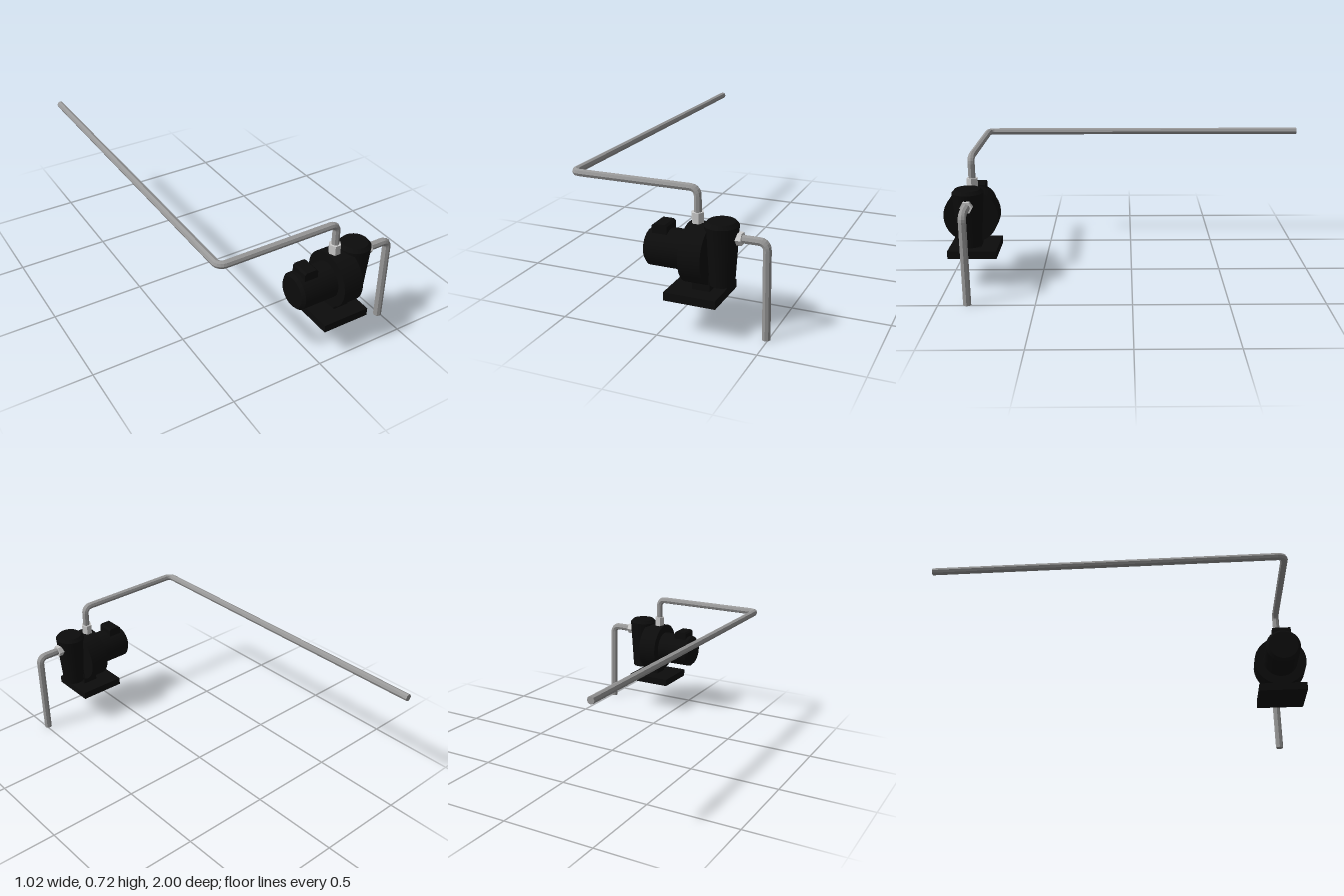
import * as THREE from 'three';
import { toCreasedNormals } from 'three/addons/utils/BufferGeometryUtils.js';

const BODY_Z = 0.855, PIPE_Z = 0.85;
const black = new THREE.MeshStandardMaterial({ color: 0x0c0c0c });
const steel = new THREE.MeshStandardMaterial({ color: 0xcccccc, flatShading: true });
const pipeGrey = new THREE.MeshStandardMaterial({ color: 0x999999, flatShading: true });

// Curve made of straight runs joined by rounded corners, sampled only where needed
function bentPath(corners, bend) {
  const pts = [], dirs = [];
  const add = (p, d) => { pts.push(p); dirs.push(d.normalize()); };
  const dir = (i) => corners[i + 1].clone().sub(corners[i]).normalize();
  add(corners[0], dir(0));
  for (let i = 1; i < corners.length - 1; i++) {
    const a = dir(i - 1), b = dir(i);
    const centre = corners[i].clone().addScaledVector(a, -bend).addScaledVector(b, bend);
    for (let k = 0; k <= 5; k++) {
      const t = (k / 5) * Math.PI / 2, s = Math.sin(t), c = Math.cos(t);
      add(centre.clone().addScaledVector(b, -bend * c).addScaledVector(a, bend * s),
        a.clone().multiplyScalar(c).addScaledVector(b, s));
    }
  }
  add(corners[corners.length - 1], dir(corners.length - 2));
  const curve = new THREE.Curve(), n = pts.length - 1;
  curve.getPointAt = (u, target = new THREE.Vector3()) => target.copy(pts[Math.round(u * n)]);
  curve.getTangentAt = (u, target = new THREE.Vector3()) => target.copy(dirs[Math.round(u * n)]);
  return { curve, n, pts, dirs };
}

// Eight-sided pipe with closed ends
function pipe(name, corners, radius, bend) {
  const group = new THREE.Group();
  group.name = name;
  const { curve, n, pts, dirs } = bentPath(corners.map((c) => new THREE.Vector3(...c)), bend);
  const tube = new THREE.Mesh(new THREE.TubeGeometry(curve, n, radius, 8), pipeGrey);
  tube.name = name + 'Tube';
  group.add(tube);
  for (const [i, sign] of [[0, -1], [n, 1]]) {
    const cap = new THREE.Mesh(new THREE.CircleGeometry(radius, 8), pipeGrey);
    cap.name = name + 'End';
    cap.position.copy(pts[i]);
    cap.quaternion.setFromUnitVectors(new THREE.Vector3(0, 0, 1), dirs[i].clone().multiplyScalar(sign));
    group.add(cap);
  }
  return group;
}

// Turned part, profile of [radius, height] pairs from bottom to top
function turned(profile) {
  const points = profile.map(([r, y]) => new THREE.Vector2(r, y));
  return toCreasedNormals(new THREE.LatheGeometry(points, 32), 0.5);
}

export function createModel() {
  const model = new THREE.Group();
  const add = (name, geometry, material, x, y, z) => {
    const mesh = new THREE.Mesh(geometry, material);
    mesh.name = name;
    mesh.position.set(x, y, z);
    model.add(mesh);
    return mesh;
  };

  // Foot and pedestal
  add('basePlate', new THREE.BoxGeometry(0.26, 0.042, 0.26), black, 0.16, 0.196, 0.85);
  add('pedestal', new THREE.BoxGeometry(0.088, 0.09, 0.09), black, 0.185, 0.255, BODY_Z);

  // Round pump housing and motor, both lying along x
  const housing = turned([[0, 0], [0.145, 0], [0.145, 0.11], [0, 0.11]]);
  add('pumpHousing', housing, black, 0.225, 0.39, BODY_Z).rotation.z = Math.PI / 2;
  const motor = turned([[0, 0], [0.095, 0], [0.095, 0.195], [0.08, 0.21], [0, 0.21]]);
  add('motor', motor, black, 0.12, 0.39, BODY_Z).rotation.z = Math.PI / 2;

  // Terminal box with bevelled upper edges
  const box = new THREE.Shape([
    [-0.038, -0.03], [0.038, -0.03], [0.038, 0.028], [0.028, 0.037], [-0.028, 0.037], [-0.038, 0.028],
  ].map(([x, y]) => new THREE.Vector2(x, y)));
  add('terminalBox', new THREE.ExtrudeGeometry(box, { depth: 0.1, bevelEnabled: false }),
    black, -0.018, 0.48, BODY_Z - 0.05);

  // Tapered strainer pot with bevelled lid
  add('strainerPot', turned([[0, 0.25], [0.06, 0.25], [0.082, 0.54], [0.066, 0.558], [0, 0.558]]),
    black, 0.273, 0, BODY_Z);

  // Hexagonal unions
  add('outletUnion', new THREE.CylinderGeometry(0.031, 0.031, 0.06, 6), steel, 0.153, 0.555, PIPE_Z)
    .rotation.y = Math.PI / 6 * 3;
  add('inletUnion', new THREE.CylinderGeometry(0.033, 0.033, 0.04, 6), steel, 0.353, 0.483, PIPE_Z)
    .rotation.z = Math.PI / 2;

  // Pipes
  model.add(pipe('inletPipe', [[0.33, 0.483, PIPE_Z], [0.49, 0.483, PIPE_Z], [0.49, 0, PIPE_Z]], 0.021, 0.035));
  model.add(pipe('outletPipe', [
    [0.154, 0.55, PIPE_Z], [0.154, 0.698, PIPE_Z], [-0.495, 0.698, PIPE_Z], [-0.495, 0.698, -1],
  ], 0.019, 0.035));
  return model;
}
